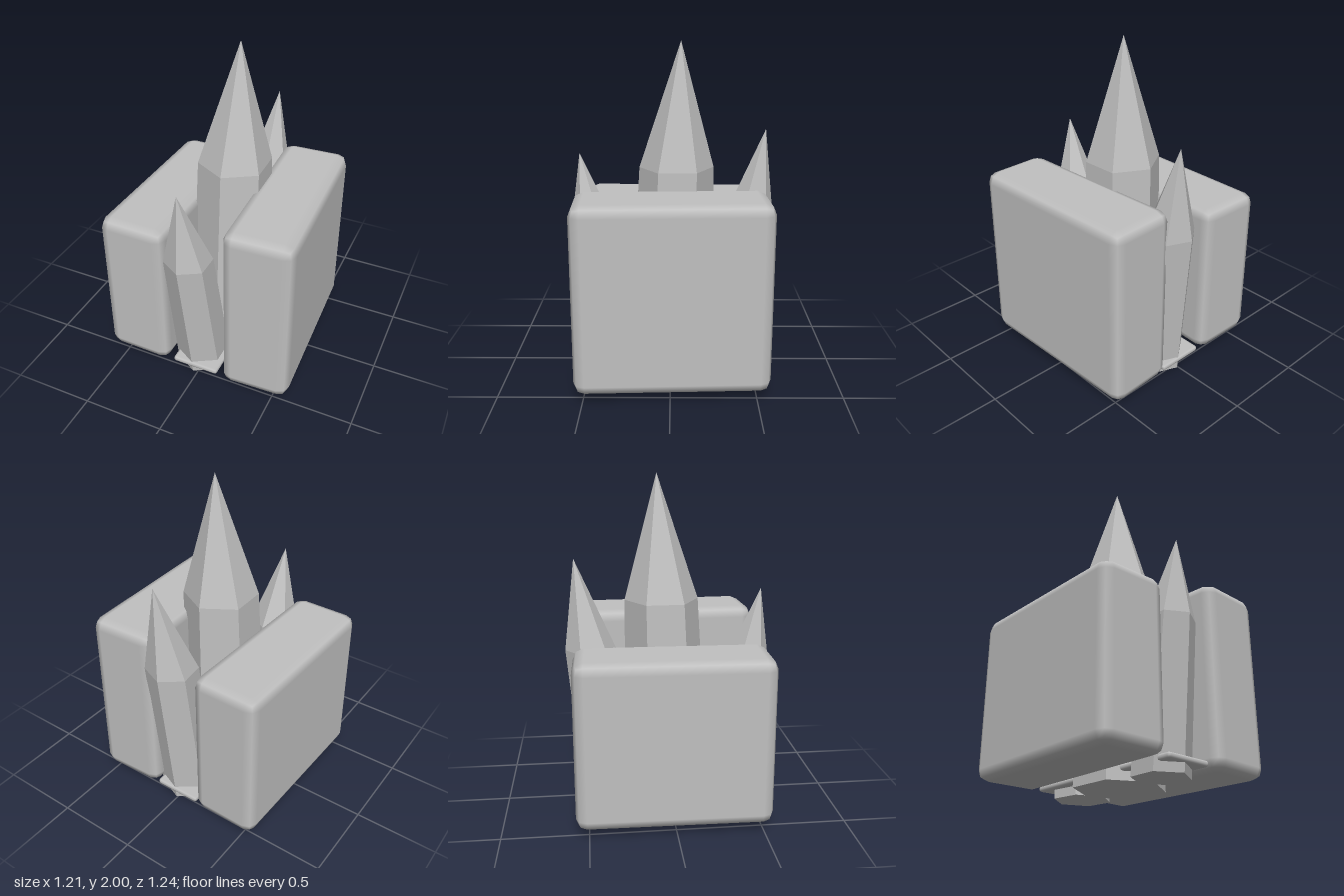
import * as THREE from 'three';
import { RoundedBoxGeometry } from 'three/addons/geometries/RoundedBoxGeometry.js';

const stone = new THREE.MeshStandardMaterial({ color: 0xc0c0c0 });
stone.name = 'pale grey stone';

// Block with a two-step bevel
function block(name, size, bevel, position, turn = 0) {
  const mesh = new THREE.Mesh(new RoundedBoxGeometry(...size, 1, bevel), stone);
  mesh.name = name;
  mesh.position.set(...position);
  mesh.rotation.y = turn;
  return mesh;
}

// Six-sided faceted crystal through rings of [x, y, z, radius]; the last is the tip
function crystal(name, rings, turn = 0) {
  const sides = 6;
  const corner = ([x, y, z, r], i) => {
    const a = turn + ((i % sides) / sides) * Math.PI * 2;
    return [x + r * Math.sin(a), y, z + r * Math.cos(a)];
  };
  const points = [];
  for (let i = 0; i < sides; i++) {
    // Underside
    points.push(...rings[0].slice(0, 3), ...corner(rings[0], i + 1), ...corner(rings[0], i));
    // Shaft and point
    for (let k = 0; k < rings.length - 1; k++) {
      const [low, high] = [rings[k], rings[k + 1]];
      const a = corner(low, i), b = corner(low, i + 1);
      const c = corner(high, i + 1), d = corner(high, i);
      points.push(...a, ...b, ...c);
      if (high[3] > 0) points.push(...a, ...c, ...d);
    }
  }
  const geometry = new THREE.BufferGeometry();
  geometry.setAttribute('position', new THREE.Float32BufferAttribute(points, 3));
  geometry.computeVertexNormals();
  const mesh = new THREE.Mesh(geometry, stone);
  mesh.name = name;
  return mesh;
}

export function createModel() {
  const model = new THREE.Group();
  model.name = 'crystalBookends';

  // Two heavy blocks, each turned a little
  model.add(block('rightBlock', [0.42, 0.98, 1.13], 0.065, [-0.385, 0.54, -0.007], -0.018));
  model.add(block('leftBlock', [0.42, 1.11, 1.13], 0.065, [0.37, 0.605, -0.007], 0.043));

  // Thin slab joining them
  model.add(block('baseSlab', [0.3, 0.036, 1.08], 0.017, [-0.008, 0.07, -0.005]));

  // Crystals rising between the blocks
  model.add(crystal('centreCrystal', [[0, 0, 0, 0.265], [0.01, 1.26, -0.035, 0.222], [0.03, 2, -0.06, 0]], 0.03));
  model.add(crystal('frontCrystal', [[-0.03, 0, 0.35, 0.165], [-0.055, 0.85, 0.475, 0.145], [-0.07, 1.33, 0.555, 0]]));
  model.add(crystal('backCrystal', [[0.03, 0, -0.36, 0.17], [0.05, 0.95, -0.465, 0.155], [0.08, 1.5, -0.555, 0]], 0.13));

  return model;
}
